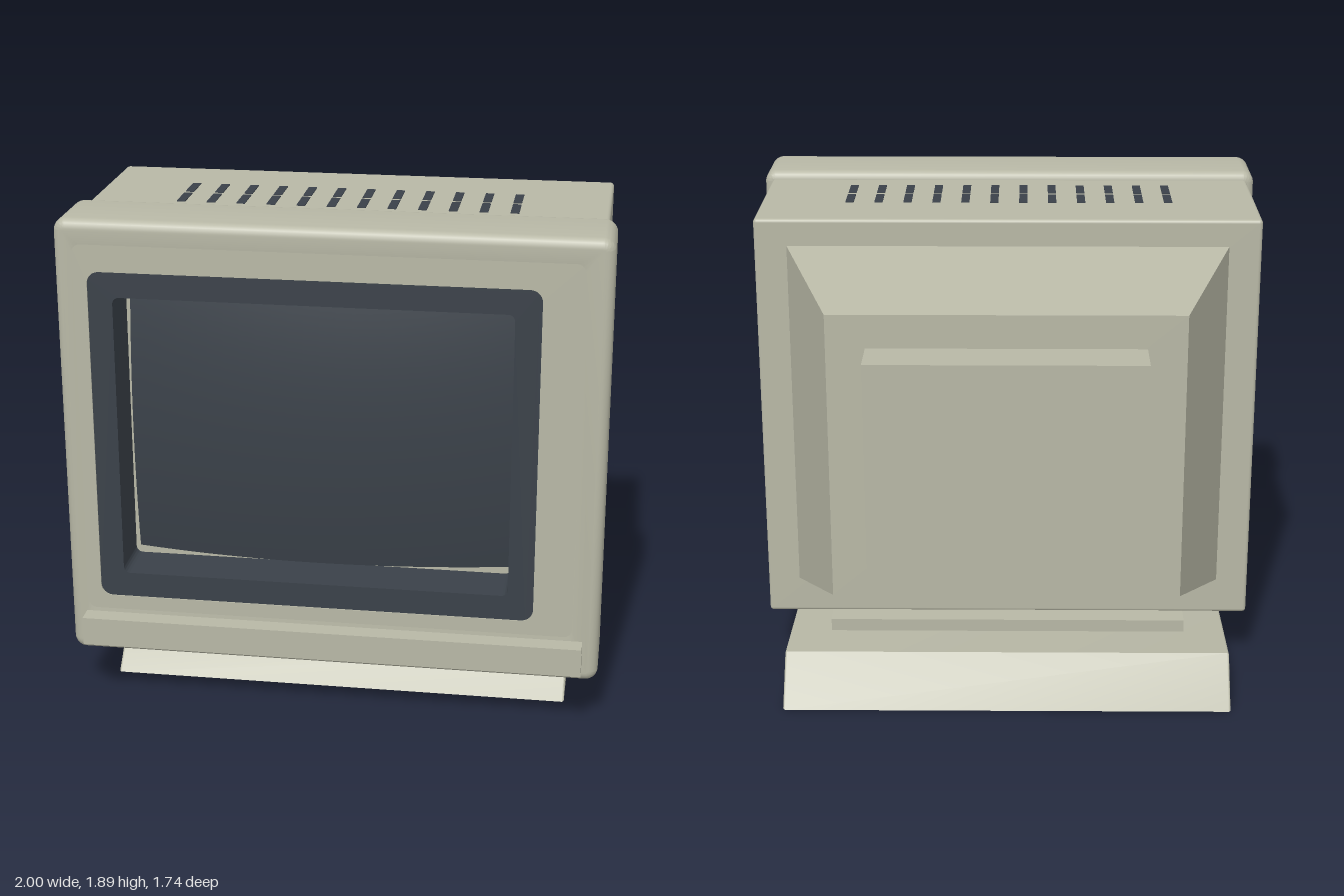
import * as THREE from 'three';
import { toCreasedNormals } from 'three/addons/utils/BufferGeometryUtils.js';
import { RoundedBoxGeometry } from 'three/addons/geometries/RoundedBoxGeometry.js';

const casing = new THREE.MeshStandardMaterial({ color: 0xb8b8a6 });
casing.name = 'warm grey plastic';
const dark = new THREE.MeshStandardMaterial({ color: 0x3a4149, side: THREE.DoubleSide });
dark.name = 'dark slate';

// Rounded rectangle outline from its edges
function roundedRect(x0, x1, y0, y1, r, Type = THREE.Shape) {
  const s = new Type();
  s.moveTo(x0 + r, y0).lineTo(x1 - r, y0).absarc(x1 - r, y0 + r, r, -Math.PI / 2, 0);
  s.lineTo(x1, y1 - r).absarc(x1 - r, y1 - r, r, 0, Math.PI / 2);
  s.lineTo(x0 + r, y1).absarc(x0 + r, y1 - r, r, Math.PI / 2, Math.PI);
  s.lineTo(x0, y0 + r).absarc(x0 + r, y0 + r, r, Math.PI, Math.PI * 1.5);
  return s;
}

// Rectangular ring between two outlines, spanning z0 to z1, with optional rounded edges
function ring(outer, hole, z0, z1, bevel = 0) {
  const shape = roundedRect(...outer);
  shape.holes.push(roundedRect(...hole, THREE.Path));
  const geo = new THREE.ExtrudeGeometry(shape, {
    depth: z1 - z0 - 2 * bevel, curveSegments: 6, bevelEnabled: bevel > 0,
    bevelSize: bevel, bevelThickness: bevel, bevelSegments: 5,
  });
  geo.translate(0, 0, z0 + bevel);
  return toCreasedNormals(geo, 0.6);
}

// Box given by its extents
function block(x0, x1, y0, y1, z0, z1, r = 0) {
  const size = [x1 - x0, y1 - y0, z1 - z0];
  const geo = r ? new RoundedBoxGeometry(...size, 3, r) : new THREE.BoxGeometry(...size);
  return geo.translate((x0 + x1) / 2, (y0 + y1) / 2, (z0 + z1) / 2);
}

export function createModel() {
  const model = new THREE.Group();
  model.name = 'desktopMonitor';
  const add = (name, geo, mat = casing, parent = model) => {
    const mesh = new THREE.Mesh(geo, mat);
    mesh.name = name;
    parent.add(mesh);
    return mesh;
  };

  // Front bezel: rounded outer rim with a square-edged inner surround
  const b = 0.035;
  const seam = [-0.93, 0.90, 0.37, 1.80, 0.03];
  const frameOuter = [-0.88, 0.755, 0.425, 1.70, 0.045];
  const frameInner = [-0.79, 0.66, 0.52, 1.605, 0.025];
  add('bezelRim', ring([-1 + b, 1 - b, 0.19 + b, 1.89 - b, 0.012], seam, 0.49, 0.80, b));
  add('bezelSurround', ring(seam, frameOuter, 0.49, 0.80));
  add('screenFrame', ring(frameOuter, frameInner, 0.60, 0.796), dark);

  // Bulging screen set back behind the frame
  const [x0, x1, y0, y1] = frameInner;
  const screen = new THREE.PlaneGeometry(x1 - x0, y1 - y0, 24, 24);
  const p = screen.attributes.position;
  for (let i = 0; i < p.count; i++) {
    const u = p.getX(i) / (x1 - x0) * 2, v = p.getY(i) / (y1 - y0) * 2;
    p.setZ(i, 0.645 - 0.07 * u * u - 0.04 * v * v);
  }
  screen.translate((x0 + x1) / 2, (y0 + y1) / 2, 0);
  screen.computeVertexNormals();
  add('screen', screen, dark);

  // Control strip under the screen
  add('controlStrip', block(-0.94, 0.94, 0.245, 0.355, 0.79, 0.87));

  // Main housing
  add('housing', block(-0.968, 0.968, 0.22, 1.86, -0.16, 0.488, 0.014));

  // Two rows of vent slots on the top
  const vents = new THREE.Group();
  vents.name = 'vents';
  model.add(vents);
  for (let i = 0; i < 12; i++) {
    const x = -0.625 + i * 0.1133;
    for (const z of [0.1, 0.25]) {
      add('ventSlot', block(x - 0.016, x + 0.016, 1.857, 1.863, z, z + 0.127), dark, vents);
    }
  }

  // Tapered rear shell
  const taper = new THREE.BoxGeometry(1, 1, 1);
  const t = taper.attributes.position;
  for (let i = 0; i < t.count; i++) {
    const rear = t.getZ(i) < 0;
    const halfWidth = rear ? 0.655 : 0.845;
    const bottom = rear ? 0.537 : 0.365, top = rear ? 1.645 : 1.757;
    t.setXYZ(i, Math.sign(t.getX(i)) * halfWidth, t.getY(i) < 0 ? bottom : top, rear ? -0.68 : -0.155);
  }
  taper.computeVertexNormals();
  add('rearShell', taper);
  add('rearCap', block(-0.51, 0.51, 0.66, 1.52, -0.87, -0.685));

  // Neck and wedge-shaped stand
  add('neck', block(-0.71, 0.71, 0.12, 0.225, -0.25, 0.49));
  const e = 0.008;
  const profile = new THREE.Shape([
    [-0.61, e], [-0.485, 0.128], [0.457, 0.178], [0.592, e],
  ].map(([z, y]) => new THREE.Vector2(z, y)));
  const stand = new THREE.ExtrudeGeometry(profile, {
    depth: 1.75 - 2 * e, bevelSize: e, bevelThickness: e, bevelSegments: 3,
  });
  stand.translate(0, 0, -(1.75 - 2 * e) / 2).rotateY(Math.PI / 2);
  add('stand', toCreasedNormals(stand, 0.6));

  return model;
}
